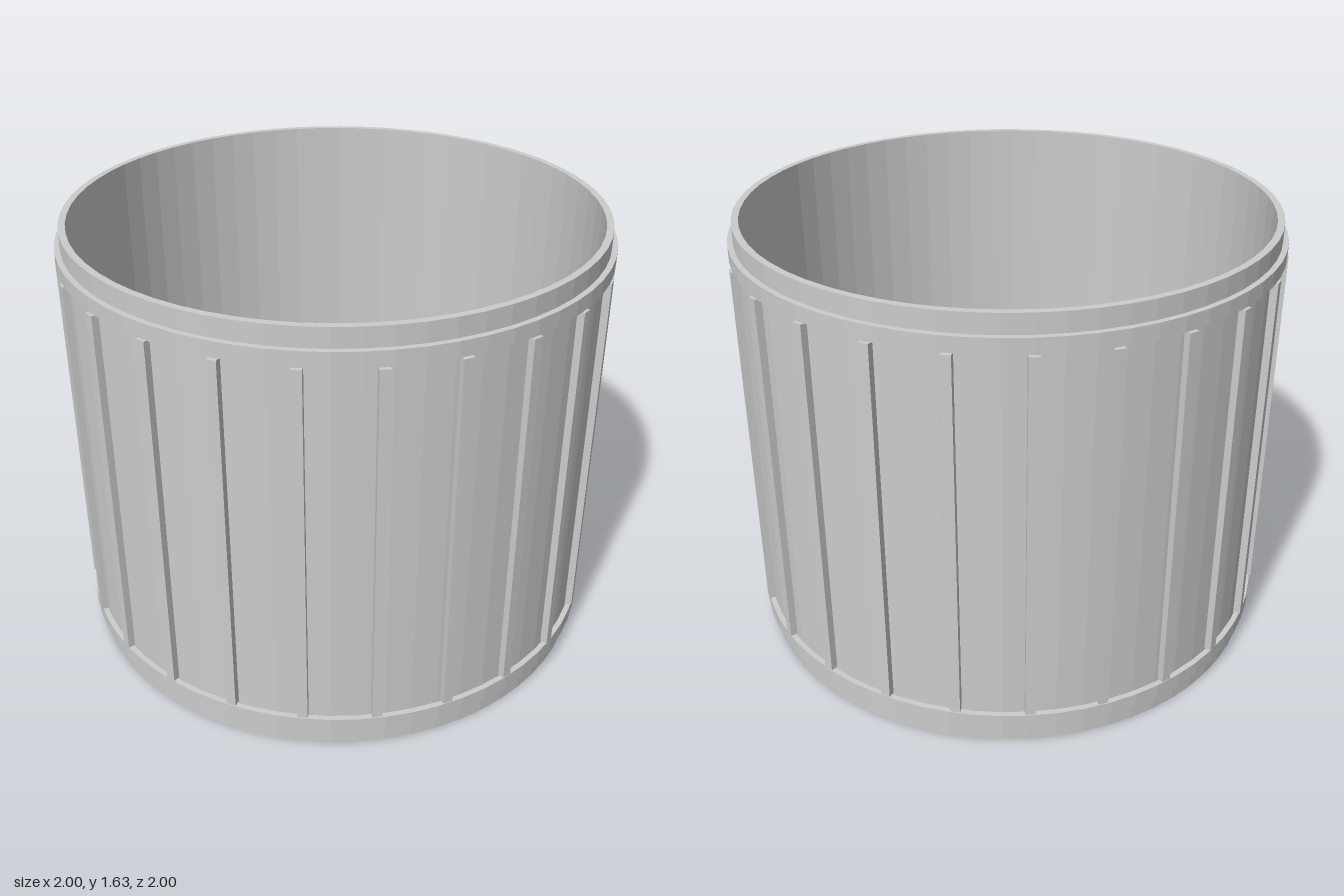
import * as THREE from 'three';

const SEGMENTS = 64;
const RIBS = 24;

export function createModel() {
  const group = new THREE.Group();
  const grey = new THREE.MeshStandardMaterial({ color: 0xcccccc, flatShading: true });
  grey.name = 'plain grey';

  // Closed rectangular ring section turned around the vertical axis
  function ring(name, inner, outer, bottom, top) {
    const profile = [
      [inner, bottom], [outer, bottom], [outer, top], [inner, top], [inner, bottom],
    ].map(([r, y]) => new THREE.Vector2(r, y));
    const mesh = new THREE.Mesh(new THREE.LatheGeometry(profile, SEGMENTS), grey);
    mesh.name = name;
    group.add(mesh);
  }

  // Open tube wall and its two raised bands
  ring('wall', 0.95, 0.975, 0, 1.635);
  ring('lowerBand', 0.965, 0.995, 0.07, 0.125);
  ring('upperBand', 0.965, 0.995, 1.51, 1.565);

  // Vertical ribs spaced evenly around the wall
  const ribs = new THREE.Group();
  ribs.name = 'ribs';
  const ribGeometry = new THREE.BoxGeometry(0.036, 1.37, 0.035);
  for (let i = 0; i < RIBS; i++) {
    const angle = (i / RIBS) * Math.PI * 2;
    const rib = new THREE.Mesh(ribGeometry, grey);
    rib.name = 'rib';
    rib.position.set(Math.sin(angle) * 0.9825, 0.82, Math.cos(angle) * 0.9825);
    rib.rotation.y = angle;
    ribs.add(rib);
  }
  group.add(ribs);

  return group;
}
